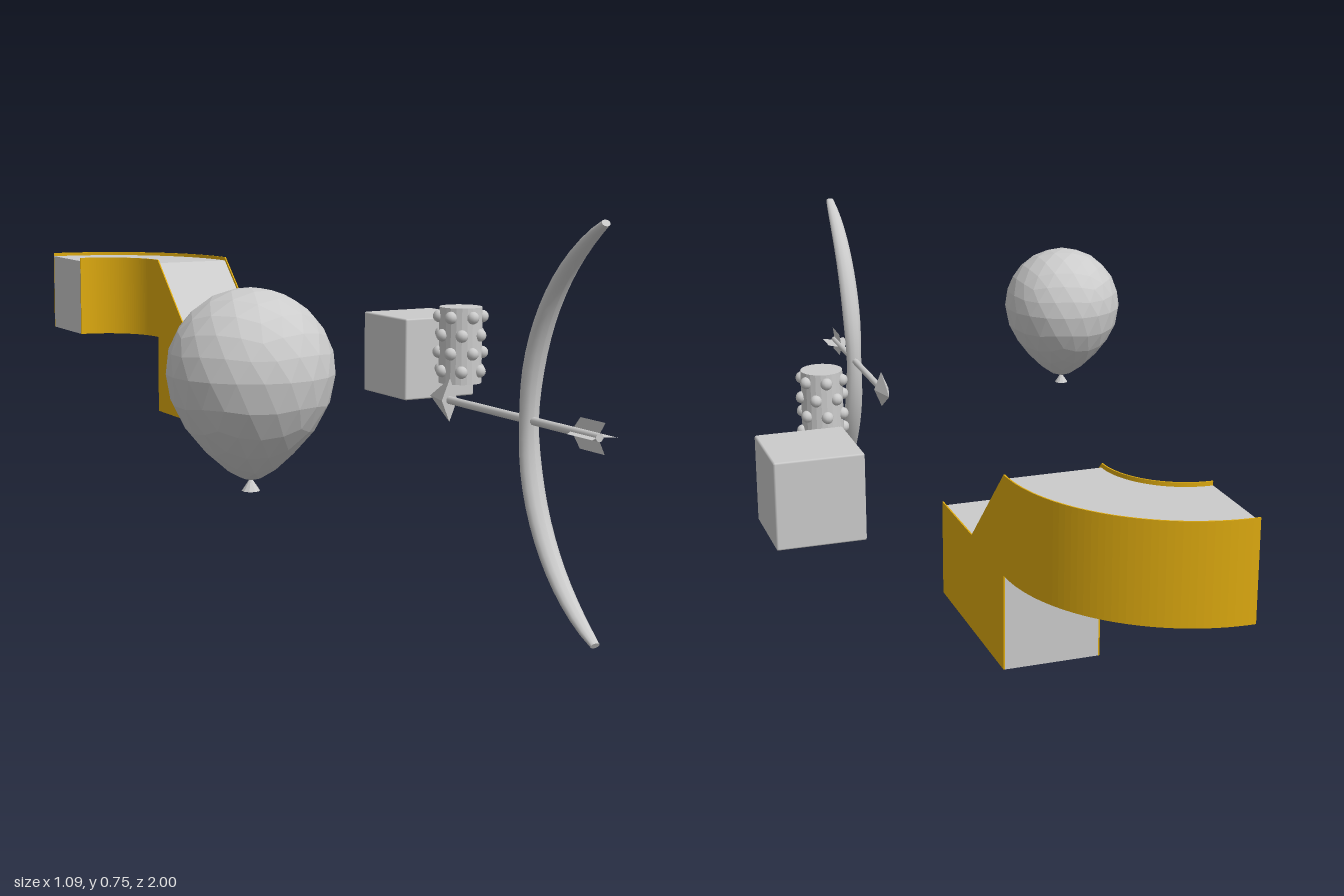
import * as THREE from 'three';
import { RoundedBoxGeometry } from 'three/addons/geometries/RoundedBoxGeometry.js';

const grey = new THREE.MeshStandardMaterial({ color: 0xcccccc, flatShading: true });
const smoothGrey = new THREE.MeshStandardMaterial({ color: 0xcccccc });
const thinGrey = new THREE.MeshStandardMaterial({ color: 0xcccccc, side: THREE.DoubleSide });
const yellow = new THREE.MeshStandardMaterial({ color: 0xe0ac10 });

function add(parent, name, geometry, material, x = 0, y = 0, z = 0) {
  const mesh = new THREE.Mesh(geometry, material);
  mesh.name = name;
  mesh.position.set(x, y, z);
  parent.add(mesh);
  return mesh;
}

function group(parent, name, x = 0, y = 0, z = 0) {
  const g = new THREE.Group();
  g.name = name;
  g.position.set(x, y, z);
  parent.add(g);
  return g;
}

// Slide: straight block with a ramp, leading into a raised quarter bend
function addSlide(parent) {
  const slide = group(parent, 'slide');
  const bottom = 0.195, middle = 0.382, lip = 0.008, wall = 0.003;
  const x0 = 0.04, x1 = 0.229, zEnd = 0.665, bendX = -0.107;

  // Side profile (distance back, height) extruded across the width
  const straight = (from, to, rise) => {
    const profile = [[0.29, bottom], [zEnd, bottom], [zEnd, 0.567 + rise], [0.478, middle + rise], [0.29, middle + rise]];
    const shape = new THREE.Shape(profile.map(([u, v]) => new THREE.Vector2(u, v)));
    return new THREE.ExtrudeGeometry(shape, { depth: to - from, bevelEnabled: false })
      .rotateY(Math.PI / 2).translate(from, 0, 0);
  };
  // Quarter ring extruded upwards
  const bend = (rIn, rOut, rise) => {
    const shape = new THREE.Shape();
    shape.absarc(bendX, zEnd, rOut, 0, Math.PI / 2, false);
    shape.absarc(bendX, zEnd, rIn, Math.PI / 2, 0, true);
    return new THREE.ExtrudeGeometry(shape, { depth: 0.567 + rise - 0.382, bevelEnabled: false, curveSegments: 20 })
      .rotateX(-Math.PI / 2).translate(0, 0.382, 0);
  };
  const rIn = x0 - bendX, rOut = x1 - bendX;
  add(slide, 'rampBlock', straight(x0 + wall, x1 - wall, 0), smoothGrey);
  add(slide, 'bendBlock', bend(rIn + wall, rOut - wall, 0), smoothGrey);
  add(slide, 'rampRightWall', straight(x0, x0 + wall, lip), yellow);
  add(slide, 'rampLeftWall', straight(x1 - wall, x1, lip), yellow);
  add(slide, 'bendInnerWall', bend(rIn, rIn + wall, lip), yellow);
  add(slide, 'bendOuterWall', bend(rOut - wall, rOut, lip), yellow);
}

// Balloon: faceted sphere whose lower half is drawn down to a point
function addBalloon(parent) {
  const balloon = group(parent, 'balloon', -0.402, 0.495, 0.715);
  const r = 0.146;
  const geo = new THREE.IcosahedronGeometry(r, 3).rotateZ(Math.atan(2 / (1 + Math.sqrt(5))));
  const p = geo.attributes.position;
  for (let i = 0; i < p.count; i++) {
    const t = Math.max(0, -p.getY(i) / r);
    const s = 1 - 0.42 * t * t;
    p.setXYZ(i, p.getX(i) * s, t > 0 ? -t * 0.188 : p.getY(i), p.getZ(i) * s);
  }
  geo.computeVertexNormals();
  add(balloon, 'balloonBody', geo, grey);
  add(balloon, 'balloonKnot', new THREE.ConeGeometry(0.016, 0.024, 10), grey, 0, -0.194, 0);
}

// Bow: tapered limb bent along an arc in the vertical plane
function addBow(parent) {
  const R = 0.431, span = 1.03, rings = 28;
  const geo = new THREE.CylinderGeometry(1, 1, 2, 12, rings);
  const p = geo.attributes.position;
  for (let i = 0; i < p.count; i++) {
    const t = p.getY(i), a = t * span, k = Math.abs(t);
    const taper = Math.sqrt(Math.max(0, 1 - 0.83 * k ** 3));
    const grip = 1 - 0.16 * Math.exp(-((k / 0.16) ** 2));
    const width = 0.0225 * taper * grip;
    const rad = R - p.getZ(i) * 0.016 * taper;
    p.setXYZ(i, p.getX(i) * width, Math.sin(a) * rad, R - Math.cos(a) * rad);
  }
  geo.computeVertexNormals();
  add(parent, 'bow', geo, smoothGrey, 0.135, 0.38, 0.778);
}

// Arrow: pointing back along z, with a flattened head and crossed vanes
function addArrow(parent) {
  const arrow = group(parent, 'arrow', 0.135, 0.38, 0);
  add(arrow, 'arrowShaft', new THREE.CylinderGeometry(0.008, 0.008, 0.48, 10).rotateX(Math.PI / 2), smoothGrey, 0, 0, 0.745);
  const head = new THREE.ConeGeometry(1, 0.07, 4).rotateX(-Math.PI / 2).scale(0.018, 0.043, 1);
  add(arrow, 'arrowHead', head, grey, 0, 0, 0.48);
  const vane = new THREE.Shape([[-0.905, 0], [-0.93, 0.028], [-1, 0.028], [-0.98, 0]]
    .map(([u, v]) => new THREE.Vector2(u, v)));
  for (let i = 0; i < 4; i++) {
    const geo = new THREE.ShapeGeometry(vane).rotateY(Math.PI / 2).rotateZ(i * Math.PI / 2);
    add(arrow, 'arrowVane', geo, thinGrey);
  }
}

// Studded roller: cylinder with four staggered rows of knobs
function addRoller(parent) {
  const roller = group(parent, 'studdedRoller', 0.345, 0.446, 0.234);
  const r = 0.046;
  add(roller, 'rollerBody', new THREE.CylinderGeometry(r, r, 0.163, 24), grey);
  const knob = new THREE.SphereGeometry(0.0135, 10, 8);
  for (let row = 0; row < 4; row++) {
    for (let i = 0; i < 6; i++) {
      const a = (i + (row % 2) / 2) * Math.PI / 3;
      add(roller, 'rollerKnob', knob, smoothGrey, Math.sin(a) * r, 0.061 - row * 0.0385, Math.cos(a) * r);
    }
  }
}

export function createModel() {
  const model = new THREE.Group();
  model.name = 'partyProps';
  addSlide(model);
  add(model, 'cube', new RoundedBoxGeometry(0.186, 0.186, 0.186, 1, 0.004), smoothGrey, 0.453, 0.382, -0.103);
  addBalloon(model);
  addBow(model);
  addArrow(model);
  addRoller(model);
  return model;
}
